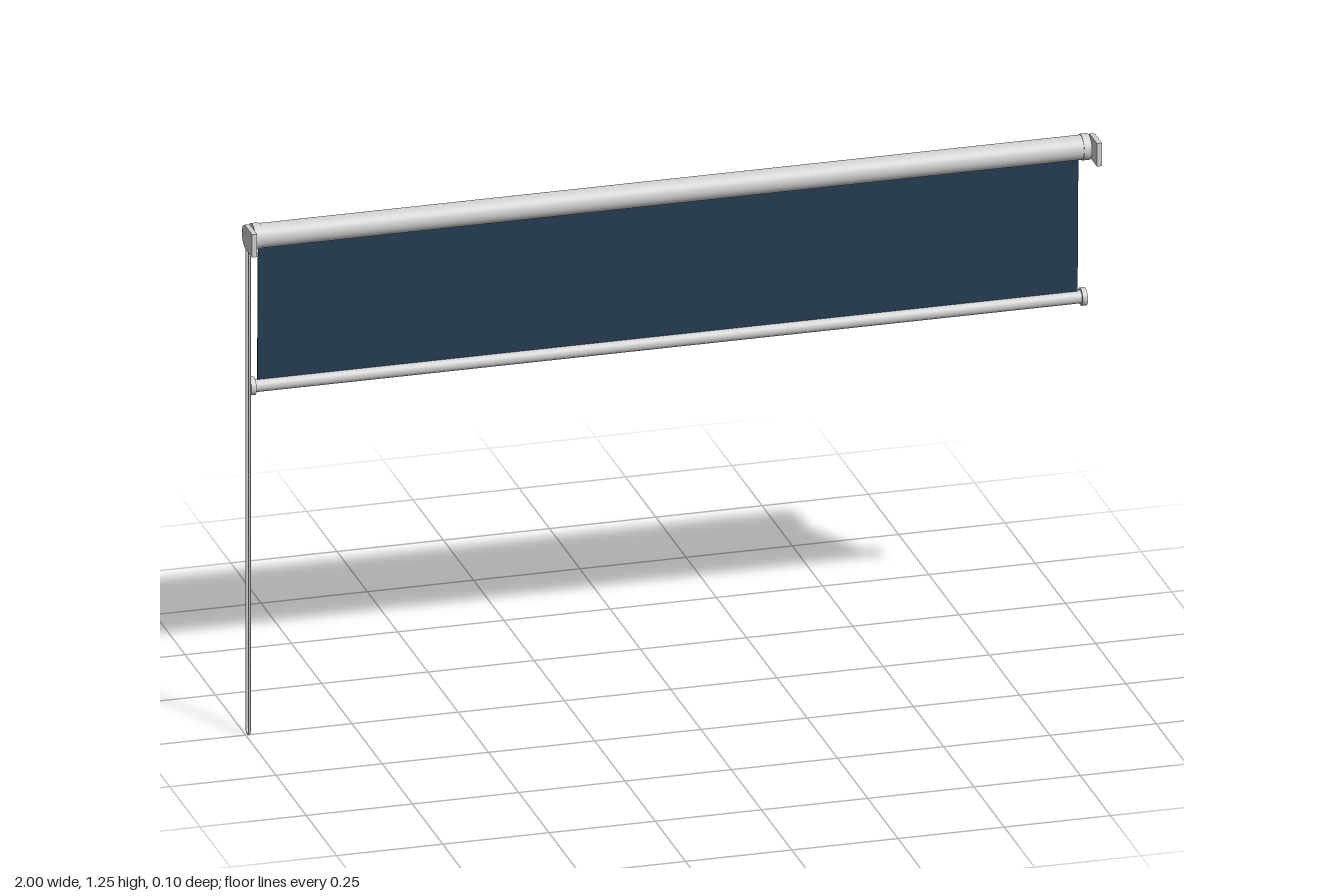
import * as THREE from 'three';

export function createModel() {
  const group = new THREE.Group();
  group.name = 'rollerBlind';
  const grey = new THREE.MeshStandardMaterial({ color: 0xd0d0d0 });
  grey.name = 'lightGrey';
  const navy = new THREE.MeshStandardMaterial({ color: 0x253c52 });
  navy.name = 'navyFabric';

  const add = (geometry, material, name, x = 0, y = 0, z = 0) => {
    const mesh = new THREE.Mesh(geometry, material);
    mesh.name = name;
    mesh.position.set(x, y, z);
    group.add(mesh);
    return mesh;
  };
  // Cylinder lying along x
  const rod = (radius, length) =>
    new THREE.CylinderGeometry(radius, radius, length, 40).rotateZ(Math.PI / 2);

  const rollY = 1.216, rollZ = -0.003;
  const barY = 0.84, barZ = -0.028;

  // Roller tube and bottom bar
  add(rod(0.0285, 1.95), grey, 'rollerTube', 0, rollY, rollZ);
  add(rod(0.015, 1.95), grey, 'bottomBar', 0, barY, barZ);

  // Fabric hanging from the back of the roller
  const topY = 1.2, topZ = -0.021;
  const fabric = add(
    new THREE.BoxGeometry(1.93, Math.hypot(topY - barY, topZ - barZ), 0.003),
    navy, 'fabric', 0, (topY + barY) / 2, (topZ + barZ) / 2);
  fabric.rotation.x = Math.atan2(topZ - barZ, topY - barY);

  // Wall bracket outline: square at the front, round at the back
  const outline = new THREE.Shape();
  outline.moveTo(-0.053, -0.028);
  outline.lineTo(0.003, -0.028);
  outline.absarc(0.003, 0, 0.028, -Math.PI / 2, Math.PI / 2, false);
  outline.lineTo(-0.053, 0.028);
  outline.closePath();
  const plate = new THREE.ExtrudeGeometry(outline, { depth: 0.012, bevelEnabled: false, curveSegments: 20 });
  plate.translate(0, 0, -0.006).rotateY(Math.PI / 2);

  for (const side of [-1, 1]) {
    const label = side > 0 ? 'left' : 'right';
    add(plate, grey, label + 'Bracket', side * 0.994, rollY, 0);
    add(rod(0.0305, 0.018), grey, label + 'RollerCap', side * 0.975, rollY, rollZ);
    add(rod(0.021, 0.012), grey, label + 'BarCap', side * 0.978, barY, barZ);
  }

  // Closed pull chain looping around the drive end
  const r = 0.0115, low = r + 0.003, high = 1.205;
  const loop = new THREE.CurvePath();
  const pt = (z, y) => new THREE.Vector3(0, y, z);
  const k = r * 4 / 3;
  loop.add(new THREE.LineCurve3(pt(r, high), pt(r, low)));
  loop.add(new THREE.CubicBezierCurve3(pt(r, low), pt(r, low - k), pt(-r, low - k), pt(-r, low)));
  loop.add(new THREE.LineCurve3(pt(-r, low), pt(-r, high)));
  loop.add(new THREE.CubicBezierCurve3(pt(-r, high), pt(-r, high + k), pt(r, high + k), pt(r, high)));
  add(new THREE.TubeGeometry(loop, 600, 0.003, 8, true), grey, 'pullChain', -0.994, 0, -0.001);

  return group;
}
